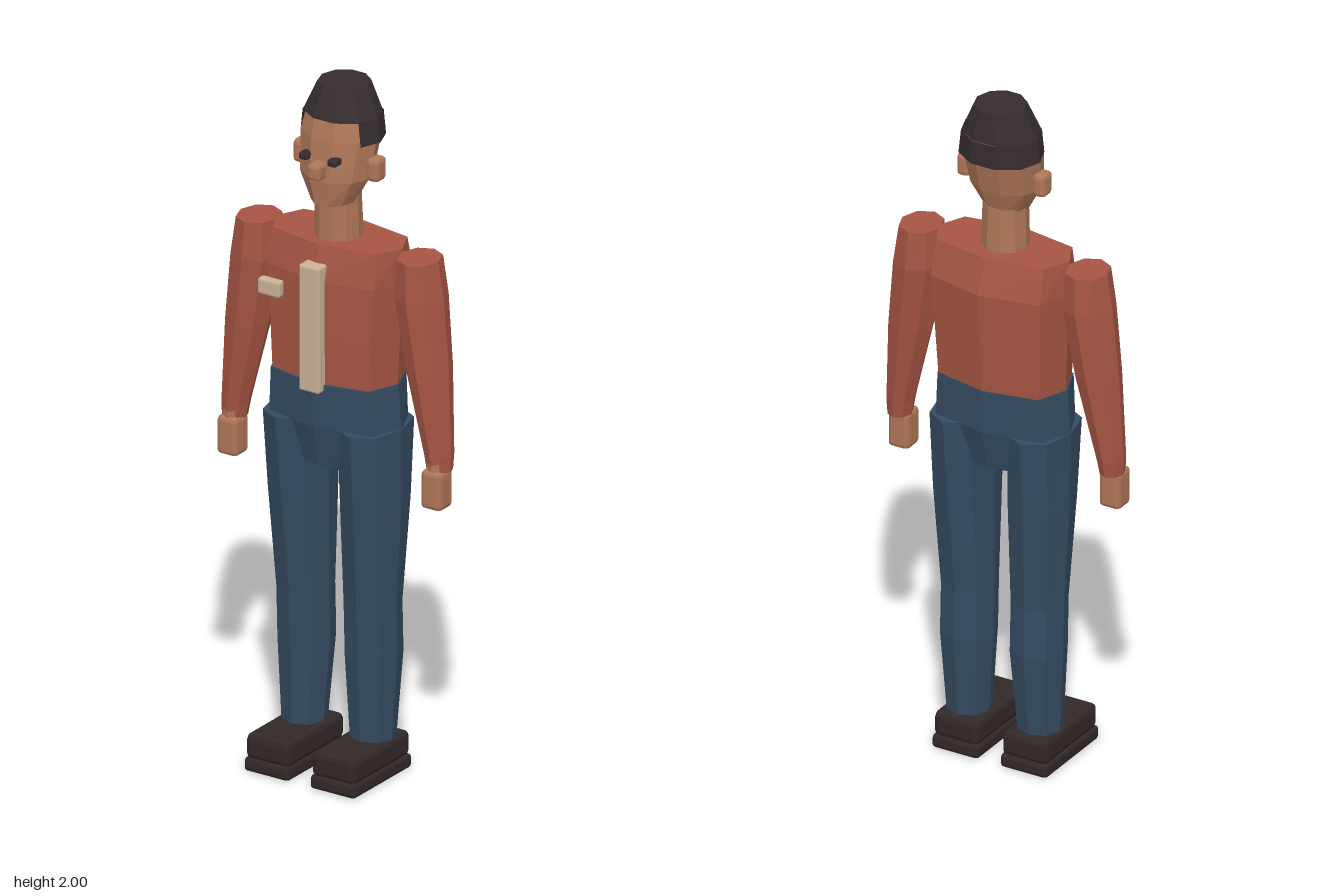
import * as THREE from 'three';
import { RoundedBoxGeometry } from 'three/addons/geometries/RoundedBoxGeometry.js';

const material = (name, color, extra = {}) => {
  const m = new THREE.MeshStandardMaterial({ color, ...extra });
  m.name = name;
  return m;
};

// Faceted solid through rings listed bottom to top: [y, centreX, halfWidth, backZ, frontZ].
// px and pz below 1 make the cross-section boxier.
function loft(rings, sides, px = 1, pz = 1) {
  const bend = (v, p) => (Math.abs(v) < 1e-9 ? 0 : Math.sign(v) * Math.abs(v) ** p);
  const loops = rings.map(([y, cx, rx, back, front]) =>
    Array.from({ length: sides }, (_, i) => {
      const a = (i / sides) * Math.PI * 2;
      return [
        cx + rx * bend(Math.cos(a), px), y,
        (back + front) / 2 + ((front - back) / 2) * bend(Math.sin(a), pz),
      ];
    }));
  const centre = ([y, cx, , back, front]) => [cx, y, (back + front) / 2];
  const out = [];
  const tri = (...pts) => pts.forEach((p) => out.push(...p));
  const last = loops.length - 1;
  for (let i = 0; i < sides; i++) {
    const j = (i + 1) % sides;
    for (let k = 0; k < last; k++) {
      const lo = loops[k], hi = loops[k + 1];
      tri(lo[j], lo[i], hi[i]);
      tri(lo[j], hi[i], hi[j]);
    }
    tri(centre(rings[0]), loops[0][i], loops[0][j]);
    tri(centre(rings[last]), loops[last][j], loops[last][i]);
  }
  return flat(out);
}

function flat(positions) {
  const g = new THREE.BufferGeometry();
  g.setAttribute('position', new THREE.Float32BufferAttribute(positions, 3));
  g.computeVertexNormals();
  return g;
}

// Box with chamfered edges, given by its extents
function block(x0, x1, y0, y1, z0, z1, bevel) {
  let g = new RoundedBoxGeometry(x1 - x0, y1 - y0, z1 - z0, 1, bevel);
  if (g.index) g = g.toNonIndexed();
  g.computeVertexNormals();
  g.translate((x0 + x1) / 2, (y0 + y1) / 2, (z0 + z1) / 2);
  return g;
}

export function createModel() {
  const model = new THREE.Group();
  model.name = 'standingMan';
  const skin = material('skin', 0xae7657);
  const shirt = material('shirt red', 0xa65543);
  const denim = material('trouser blue', 0x344b61);
  const dark = material('hair black', 0x352c2e, { side: THREE.DoubleSide });
  const leather = material('shoe black', 0x322828);
  const cream = material('trim cream', 0xcbb298);
  const add = (name, geometry, mat) => {
    const mesh = new THREE.Mesh(geometry, mat);
    mesh.name = name;
    model.add(mesh);
  };

  // Torso and hips
  add('torso', loft([
    [1.14, 0, 0.19, -0.148, 0.092],
    [1.3, 0, 0.198, -0.158, 0.095],
    [1.46, 0, 0.208, -0.168, 0.095],
    [1.56, 0, 0.205, -0.135, 0.07],
  ], 8, 0.55, 0.9), shirt);
  add('hips', loft([
    [0.91, 0, 0.14, -0.12, 0.07],
    [1.03, 0, 0.205, -0.148, 0.095],
    [1.16, 0, 0.196, -0.152, 0.1],
  ], 8, 0.6, 0.9), denim);

  // Shirt trim
  add('placket', block(-0.034, 0.032, 1.14, 1.51, 0.06, 0.117, 0.006), cream);
  add('chestTag', block(-0.17, -0.1, 1.39, 1.437, 0.088, 0.115, 0.006), cream);

  // Neck and head
  add('neck', loft([
    [1.54, 0, 0.068, -0.095, 0.04],
    [1.69, 0, 0.062, -0.09, 0.04],
  ], 10), skin);
  add('head', loft([
    [1.67, 0, 0.06, -0.08, 0.065],
    [1.745, 0, 0.104, -0.108, 0.072],
    [1.86, 0, 0.117, -0.136, 0.058],
    [1.93, 0, 0.1, -0.13, 0.04],
  ], 10), skin);
  add('nose', block(-0.02, 0.02, 1.755, 1.802, 0.04, 0.1, 0.01), skin);

  // Hair: a cap, plus a band around the sides and back
  add('hairCap', loft([
    [1.915, 0, 0.113, -0.146, 0.052],
    [2.0, 0, 0.073, -0.127, 0.02],
  ], 10), dark);
  const band = [];
  const bandPoint = (i, rx, rz, y) => {
    const a = (-0.2 + (i / 7) * 1.4) * Math.PI;
    return [rx * Math.cos(a), y, -0.048 - rz * Math.sin(a)];
  };
  for (let i = 0; i < 7; i++) {
    const lo = [i, i + 1].map((k) => bandPoint(k, 0.122, 0.104, 1.847));
    const hi = [i, i + 1].map((k) => bandPoint(k, 0.113, 0.103, 1.917));
    const inn = [i, i + 1].map((k) => bandPoint(k, 0.105, 0.085, 1.847));
    for (const p of [lo[0], lo[1], hi[1], lo[0], hi[1], hi[0],
      lo[0], inn[1], lo[1], lo[0], inn[0], inn[1]]) band.push(...p);
  }
  add('hairBand', flat(band), dark);

  // Paired parts
  for (const [side, s] of [['left', 1], ['right', -1]]) {
    const pair = (name, x0, x1, ...rest) =>
      block(Math.min(s * x0, s * x1), Math.max(s * x0, s * x1), ...rest);

    add(side + 'Eye', pair('', 0.033, 0.06, 1.8, 1.82, 0.045, 0.08, 0.005), dark);
    add(side + 'Ear', pair('', 0.1, 0.139, 1.742, 1.81, -0.057, -0.006, 0.012), skin);

    add(side + 'Sleeve', loft([
      [0.945, s * 0.335, 0.034, -0.06, 0.018],
      [0.99, s * 0.332, 0.039, -0.067, 0.022],
      [1.24, s * 0.295, 0.065, -0.094, 0.038],
      [1.44, s * 0.268, 0.073, -0.108, 0.047],
      [1.55, s * 0.263, 0.06, -0.1, 0.04],
    ], 8), shirt);
    add(side + 'Wrist', loft([
      [0.92, s * 0.335, 0.028, -0.04, 0.02],
      [0.99, s * 0.333, 0.028, -0.04, 0.02],
    ], 8), skin);
    add(side + 'Hand', pair('', 0.301, 0.366, 0.84, 0.952, -0.04, 0.026, 0.012), skin);

    add(side + 'Leg', loft([
      [0.1, s * 0.112, 0.06, -0.092, 0.036],
      [0.35, s * 0.11, 0.077, -0.115, 0.045],
      [0.5, s * 0.11, 0.077, -0.11, 0.05],
      [0.8, s * 0.118, 0.085, -0.136, 0.078],
      [1.03, s * 0.122, 0.085, -0.153, 0.102],
    ], 8, 0.9, 0.9), denim);

    add(side + 'Sole', pair('', 0.035, 0.181, 0, 0.04, -0.115, 0.166, 0.01), leather);
    add(side + 'Shoe', pair('', 0.037, 0.178, 0.036, 0.11, -0.112, 0.163, 0.016), leather);
  }
  return model;
}
